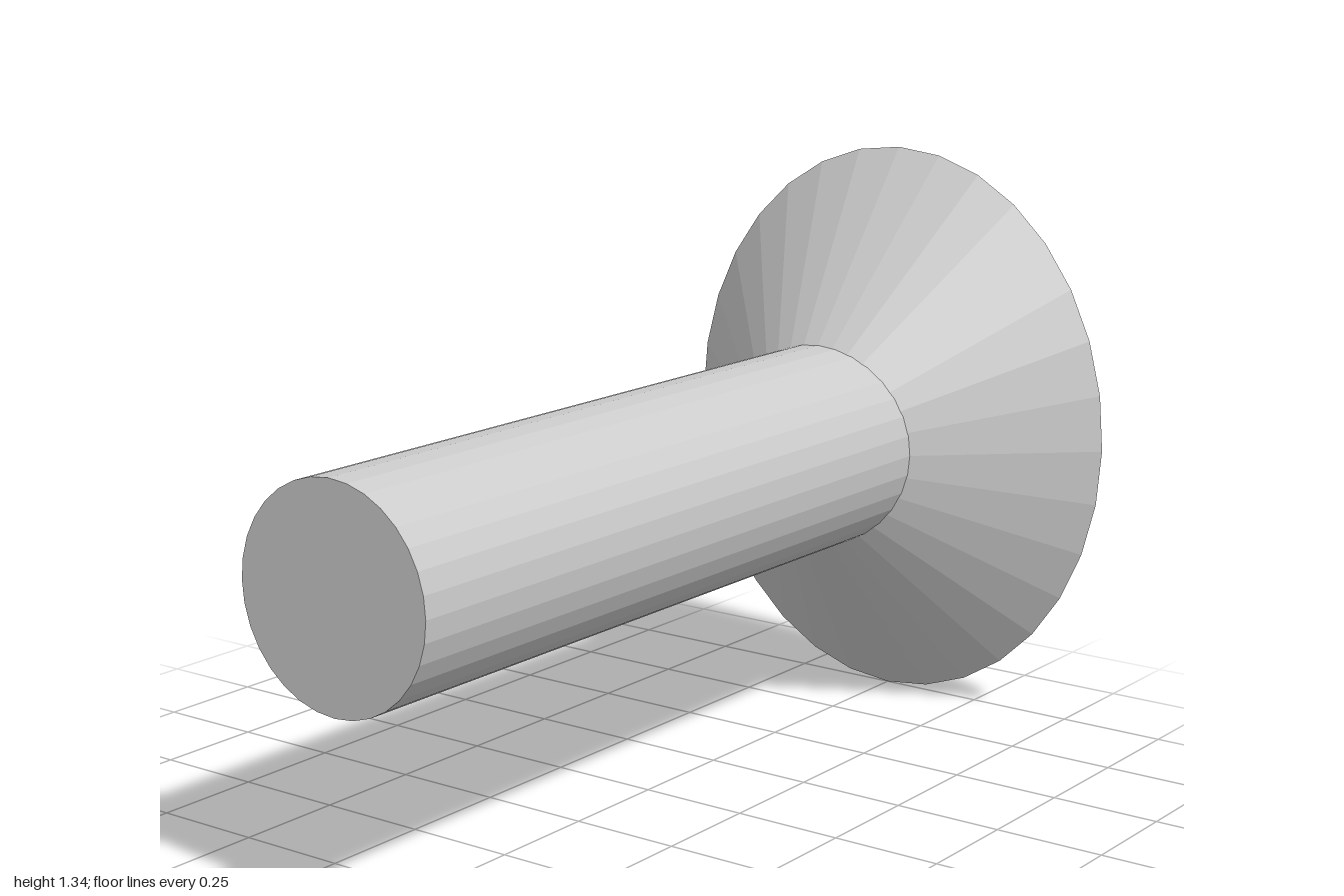
import * as THREE from 'three';

const SIDES = 32;
const CENTRE_Y = 0.672;

export function createModel() {
  const group = new THREE.Group();
  group.name = 'countersunkPin';
  const material = new THREE.MeshStandardMaterial({ color: 0xcccccc, flatShading: true });

  // Adds a part built along y, laid along z with its back end at zBack
  const addPart = (name, geometry, length, zBack) => {
    geometry.rotateX(Math.PI / 2);
    geometry.translate(0, CENTRE_Y, zBack + length / 2);
    const mesh = new THREE.Mesh(geometry, material);
    mesh.name = name;
    group.add(mesh);
  };

  // Round shaft, its back end buried in the head
  const shaftLength = 1.75;
  addPart('shaft', new THREE.CylinderGeometry(0.238, 0.238, shaftLength, SIDES), shaftLength, -0.75);

  // Oval conical head, its tip hidden inside the shaft
  const headLength = 0.526;
  const head = new THREE.ConeGeometry(1, headLength, SIDES).scale(0.573, 1, 0.67);
  addPart('head', head, headLength, -1);

  return group;
}
